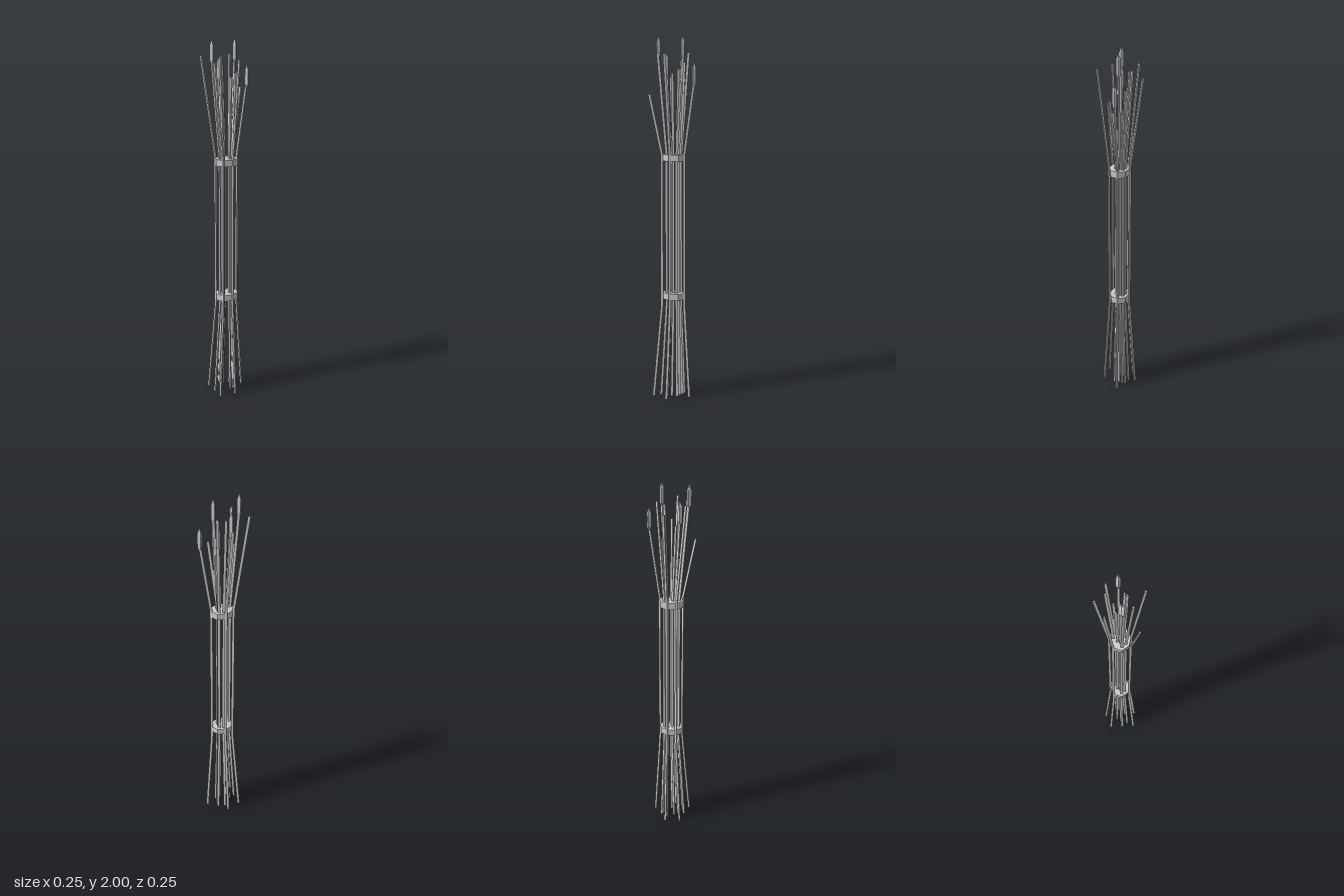
import * as THREE from 'three';

// Each stalk: [waist x, waist z, tip x, tip z, tip height, has seed head]
const STALKS = [
  [-0.055, -0.043, -0.116, -0.085, 1.91, 0],
  [-0.005, -0.057, -0.011, -0.120, 1.86, 0],
  [-0.057, 0.003, -0.104, 0.005, 1.90, 1],
  [-0.062, 0.047, -0.119, 0.080, 1.69, 0],
  [-0.007, 0.057, -0.007, 0.117, 1.90, 0],
  [0.053, 0.002, 0.112, 0.005, 1.76, 1],
  [0.020, -0.025, 0.045, -0.060, 1.91, 0],
  [-0.003, -0.034, 0.001, -0.067, 1.90, 0],
  [0.015, -0.002, 0.040, -0.002, 1.90, 1],
  [0.018, -0.014, 0.034, -0.027, 1.70, 0],
  [0.012, 0.014, 0.050, 0.042, 1.75, 0],
  [0.013, 0.016, 0.030, 0.025, 1.82, 0],
  [-0.005, 0.020, -0.004, 0.033, 1.80, 0],
  [-0.025, -0.015, -0.045, -0.025, 1.78, 0],
  [-0.035, 0.000, -0.058, -0.002, 1.81, 1],
  [-0.045, 0.024, -0.083, 0.050, 1.91, 0],
];

const faceted = (geometry) => {
  const flat = geometry.toNonIndexed();
  flat.computeVertexNormals();
  return flat;
};

// Three-sided rod bent at both bindings, splayed above and below
function stalkGeometry([mx, mz, tx, tz, top]) {
  const rings = [[tx, top, tz], [mx, 1.37, mz], [mx, 0.53, mz], [mx * 1.62, 0, mz * 1.62]];
  const g = new THREE.CylinderGeometry(0.0085, 0.0085, 3, 3, 3, false, Math.PI / 2);
  const p = g.attributes.position;
  for (let i = 0; i < p.count; i++) {
    const [x, y, z] = rings[Math.round(1.5 - p.getY(i))];
    p.setXYZ(i, p.getX(i) + x, y, p.getZ(i) + z);
  }
  return faceted(g);
}

export function createModel() {
  const model = new THREE.Group();
  const reed = new THREE.MeshStandardMaterial({ color: 0xcccccc });
  const add = (name, geometry, x = 0, y = 0, z = 0) => {
    const mesh = new THREE.Mesh(geometry, reed);
    mesh.name = name;
    mesh.position.set(x, y, z);
    model.add(mesh);
  };

  // Four-sided seed head with pointed tip
  const profile = [[0, -0.024], [0.009, -0.024], [0.0125, -0.006], [0.0125, 0.064], [0, 0.1]];
  const headGeometry = faceted(
    new THREE.LatheGeometry(profile.map(([r, y]) => new THREE.Vector2(r, y)), 4));

  for (const s of STALKS) {
    add('stalk', stalkGeometry(s));
    if (s[5]) add('seedHead', headGeometry, s[2], s[4], s[3]);
  }

  // Two eight-sided bindings
  const band = faceted(new THREE.CylinderGeometry(1, 1, 0.036, 8).scale(0.067, 1, 0.057));
  add('lowerBinding', band, -0.011, 0.578, 0);
  add('upperBinding', band, -0.011, 1.348, 0);
  return model;
}
